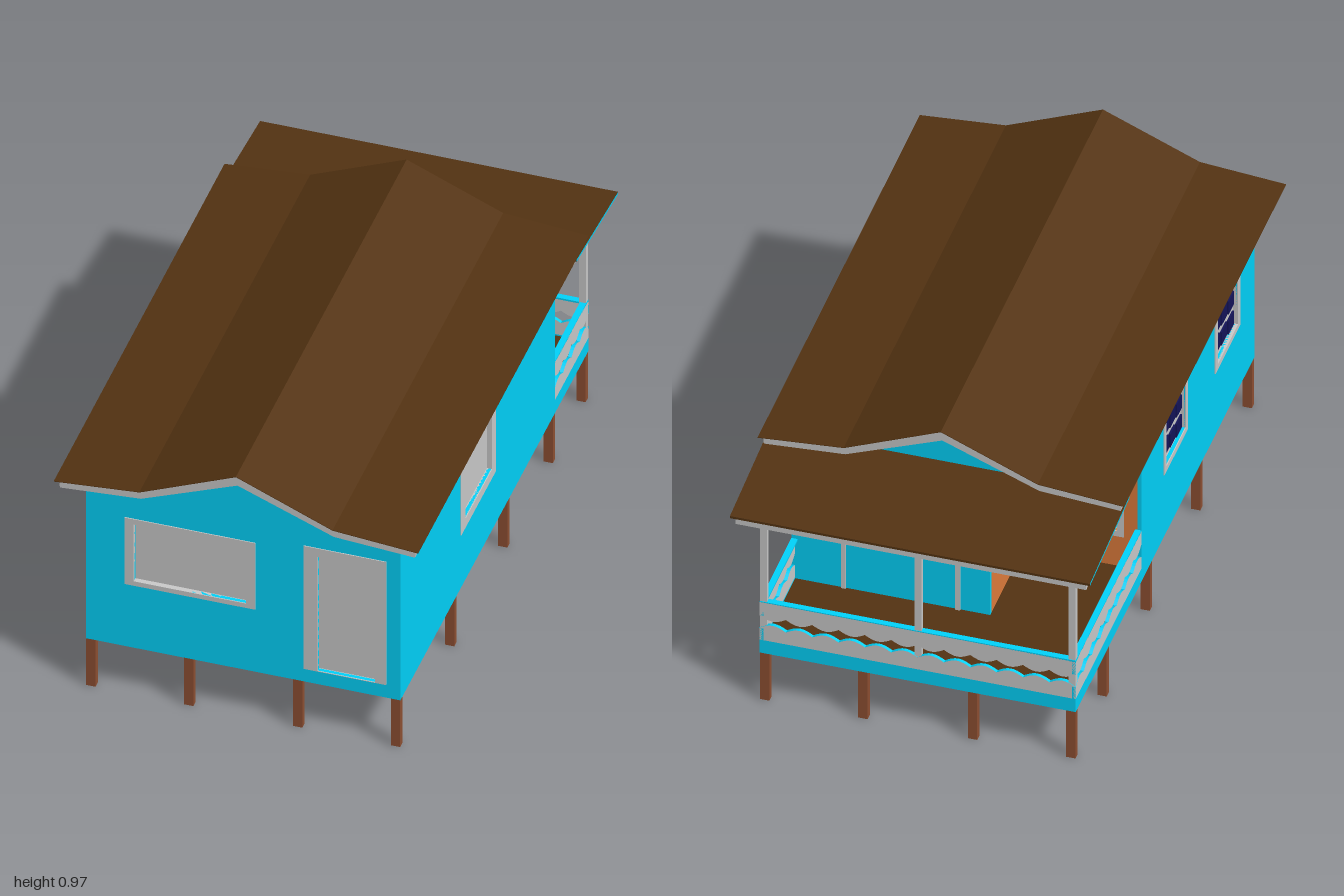
import * as THREE from 'three';

const mat = (color) => new THREE.MeshStandardMaterial({ color, side: THREE.DoubleSide, flatShading: true });
const grey = mat(0xcccccc), blue = mat(0x00d4fc), brown = mat(0x543312);
const timber = mat(0x8f5032), orange = mat(0xe07c3c), navy = mat(0x14145a);

// Turn about y for each facing; along a facing, u runs to the viewer's right
const FACING = { front: 0, back: Math.PI, plusX: Math.PI / 2, minusX: -Math.PI / 2 };

export function createModel() {
  const house = new THREE.Group();
  house.name = 'house';

  const box = (name, x0, x1, y0, y1, z0, z1, m, parent = house) => {
    const mesh = new THREE.Mesh(new THREE.BoxGeometry(x1 - x0, y1 - y0, z1 - z0), m);
    mesh.position.set((x0 + x1) / 2, (y0 + y1) / 2, (z0 + z1) / 2);
    mesh.name = name;
    parent.add(mesh);
  };
  const shapeOf = (pts) => new THREE.Shape(pts.map((p) => new THREE.Vector2(p[0], p[1])));
  const extrude = (name, shape, z0, z1, m, parent = house) => {
    const geo = new THREE.ExtrudeGeometry(shape, { depth: z1 - z0, bevelEnabled: false, curveSegments: 6 });
    const mesh = new THREE.Mesh(geo, m);
    mesh.position.z = z0;
    mesh.name = name;
    parent.add(mesh);
  };
  // Group whose local z = 0 plane lies at a distance out along the facing
  const side = (name, facing, dist) => {
    const g = new THREE.Group();
    g.name = name;
    g.rotation.y = FACING[facing];
    g.position.set(0, 0, dist).applyAxisAngle(new THREE.Vector3(0, 1, 0), FACING[facing]);
    house.add(g);
    return g;
  };
  const rect = (C, u0, u1, v0, v1) => {
    const s = new C();
    s.moveTo(u0, v0); s.lineTo(u1, v0); s.lineTo(u1, v1); s.lineTo(u0, v1); s.closePath();
    return s;
  };

  // Framed opening cut through a wall, with a recessed panel
  const framed = (name, facing, dist, wall, [u0, u1, v0, v1], [a0, a1, b0, b1]) => {
    wall.holes.push(rect(THREE.Path, a0, a1, b0, b1));
    const g = side(name, facing, dist);
    const s = rect(THREE.Shape, u0, u1, v0, v1);
    s.holes.push(rect(THREE.Path, a0, a1, b0, b1));
    extrude('frame', s, -0.02, 0.003, grey, g);
    box('panel', a0, a1, b0, b1, -0.02, -0.014, grey, g);
    return g;
  };
  // Window with staggered dark panes
  const paned = (name, facing, dist, wall, u0, u1, v0, v1) => {
    const g = framed(name, facing, dist, wall, [u0, u1, v0, v1], [u0 + 0.022, u1 - 0.022, v0 + 0.02, v1 - 0.02]);
    const w = (u1 - u0 - 0.044) / 3, h = (v1 - v0 - 0.04) / 3;
    for (let c = 0; c < 3; c++) {
      for (let r = 0; r < 3; r++) {
        const u = u0 + 0.022 + c * w, v = v0 + 0.024 + r * h + (2 - c) * h * 0.13;
        box('pane', u + 0.007, u + w - 0.007, v, v + h * 0.66, -0.024, -0.008, navy, g);
      }
    }
  };

  // Walls and their openings
  const T = 0.012, W = 0.505, BASE = 0.18, INX = -0.13, INZ = -0.24;
  const eave = [[W, 0.79], [0.31, 0.804], [0, 0.928], [-0.31, 0.804], [-W, 0.79]];
  const frontWall = shapeOf([[-W, BASE], [W, BASE], ...eave]);
  framed('frontWindow', 'front', 0.93, frontWall, [-0.38, 0.04, 0.42, 0.675], [-0.35, 0.01, 0.437, 0.655]);
  framed('frontDoor', 'front', 0.93, frontWall, [0.195, 0.46, 0.23, 0.702], [0.24, 0.425, 0.232, 0.67]);
  extrude('frontWall', frontWall, 0.93 - T, 0.93, blue);

  const plusWall = rect(THREE.Shape, -0.93, 0.59, BASE, 0.79);
  framed('sideWindow', 'plusX', W, plusWall, [-0.34, 0, 0.385, 0.667], [-0.3, -0.035, 0.42, 0.645]);
  extrude('leftWall', plusWall, -T, 0, blue, side('leftSide', 'plusX', W));

  const minusWall = rect(THREE.Shape, INZ, 0.93, BASE, 0.79);
  paned('rearSideWindow', 'minusX', W, minusWall, -0.01, 0.235, 0.42, 0.69);
  paned('foreSideWindow', 'minusX', W, minusWall, 0.52, 0.775, 0.42, 0.69);
  extrude('rightWall', minusWall, -T, 0, blue, side('rightSide', 'minusX', W));

  const recessWall = rect(THREE.Shape, -INX, W - T, BASE, 0.76);
  paned('recessWindow', 'back', -INZ, recessWall, 0.18, 0.45, 0.34, 0.65);
  extrude('recessBackWall', recessWall, -T, 0, orange, side('recessBack', 'back', -INZ));

  extrude('backWall', shapeOf([[INX, BASE], [W, BASE], ...eave, [-W, 0.74], [INX, 0.74]]), -0.59, -0.59 + T, blue);
  box('recessSideWall', INX, INX + T, BASE, 0.76, -0.59 + T, INZ, orange);
  box('recessCeiling', -W + T, INX, 0.74, 0.75, -0.59, INZ, grey);
  box('skirtingBoard', -W + T, -W + 0.02, BASE, 0.215, -0.905, 0.918, grey);

  // Main roof: grey slab, brown covering, brown lining
  const ridge = [[-0.585, 0.815], [-0.31, 0.838], [0, 0.97], [0.31, 0.838], [0.585, 0.815]];
  const soffit = [[-0.57, 0.783], [-0.31, 0.801], [0, 0.925], [0.31, 0.801], [0.57, 0.783]];
  const between = (low, high) => shapeOf([...low, ...high.slice().reverse()]);
  const lift = (line, dy, k = 1) => line.map(([x, y]) => [x * k, y + dy]);
  extrude('roofSlab', between(soffit, lift(ridge, -0.002, 0.98)), -0.665, 0.985, grey);
  extrude('roofCovering', between(lift(ridge, -0.002), ridge), -0.68, 1.0, brown);
  extrude('roofLining', between(lift(soffit, -0.003, 0.865), lift(soffit, 0.002, 0.865)), -0.578, 0.918, brown);

  // Porch roof, sloping to the back
  const porchRoof = side('porchRoof', 'minusX', 0);
  const strip = (name, z0, z1, lo, hi, half, m) => {
    const y = (z) => 0.786 + (z + 0.59) * 0.088;
    extrude(name, shapeOf([[z1, y(z1) + lo], [z0, y(z0) + lo], [z0, y(z0) + hi], [z1, y(z1) + hi]]), -half, half, m, porchRoof);
  };
  strip('porchRoofSlab', -0.99, -0.59, -0.035, -0.008, 0.56, grey);
  strip('porchRoofCovering', -1.0, -0.59, -0.008, 0, 0.575, [blue, brown]);

  // Round-cornered door surround on the back wall
  const arch = (C, u0, u1, v0, v1, r) => {
    const s = new C();
    s.moveTo(u0, v0); s.lineTo(u1, v0); s.lineTo(u1, v1 - r);
    s.quadraticCurveTo(u1, v1, u1 - r, v1);
    s.lineTo(u0 + r, v1);
    s.quadraticCurveTo(u0, v1, u0, v1 - r);
    s.closePath();
    return s;
  };
  const surround = arch(THREE.Shape, -0.345, 0.035, 0.2, 0.71, 0.06);
  surround.holes.push(arch(THREE.Path, -0.33, 0.02, 0.201, 0.695, 0.05));
  extrude('backDoorSurround', surround, 0, 0.006, grey, side('backDoor', 'back', 0.59));

  // Porch floor and skirt
  box('porchFloor', -W + T, W - T, 0.215, 0.225, -0.91, -0.59, brown);
  box('recessFloor', -W + T, INX, 0.215, 0.225, -0.59, INZ, brown);
  box('porchSkirtBack', -W, W, BASE, 0.23, -0.92, -0.92 + T, blue);
  box('porchSkirtLeft', W - T, W, BASE, 0.23, -0.92 + T, -0.59, blue);
  box('porchSkirtRight', -W, -W + T, BASE, 0.23, -0.92 + T, INZ, blue);

  // Railing of two scalloped boards with coloured edges
  const railing = (facing, dist, u0, u1) => {
    const g = side('railing', facing, dist);
    const n = Math.round((u1 - u0) / 0.085) * 8;
    const wave = (mid, sign) => Array.from({ length: n + 1 }, (_, i) => [
      u0 + ((u1 - u0) * i) / n, mid + sign * 0.016 * (Math.abs(Math.sin((i * Math.PI) / 8)) - 0.5),
    ]);
    extrude('lowerBoard', shapeOf([[u1, 0.23], [u0, 0.23], ...wave(0.284, 1)]), -T, 0, [grey, blue], g);
    extrude('upperBoard', shapeOf([[u1, 0.375], [u0, 0.375], ...wave(0.316, -1)]), -T, 0, [grey, blue], g);
    box('handrail', u0, u1, 0.372, 0.378, -0.02, 0, blue, g);
  };
  railing('back', 0.92, -W, W);
  railing('plusX', W, 0.59, 0.92);
  railing('minusX', W, -0.92, INZ);

  // Header with rounded lower corners over each porch bay
  const header = (facing, dist, u0, u1, t0, t1, m) => {
    const s = new THREE.Shape(), r = 0.04, v = 0.703;
    s.moveTo(u0, v - r); s.quadraticCurveTo(u0, v, u0 + r, v);
    s.lineTo(u1 - r, v); s.quadraticCurveTo(u1, v, u1, v - r);
    s.lineTo(u1, t1); s.lineTo(u0, t0); s.closePath();
    extrude('header', s, -T, 0, m, side('porchHeader', facing, dist));
  };
  header('plusX', W, 0.59, 0.91, 0.753, 0.725, [blue, grey]);
  header('minusX', W, -0.91, -0.59, 0.725, 0.753, grey);
  header('minusX', W, -0.59, INZ, 0.785, 0.785, grey);
  header('back', 0.92, -W, 0, 0.725, 0.725, grey);
  header('back', 0.92, 0, W, 0.725, 0.725, grey);
  for (const x of [-0.493, 0, 0.493]) box('porchPost', x - 0.011, x + 0.011, 0.22, 0.725, -0.918, -0.9, grey);

  // Stilts around the perimeter
  const stilt = (x, z) => box('stilt', x - 0.015, x + 0.015, 0, BASE + 0.005, z - 0.011, z + 0.011, timber);
  for (const z of [0.918, 0.385, -0.138, -0.585, -0.908]) for (const x of [-0.489, 0.489]) stilt(x, z);
  for (const z of [0.918, -0.908]) for (const x of [-0.175, 0.175]) stilt(x, z);

  return house;
}
